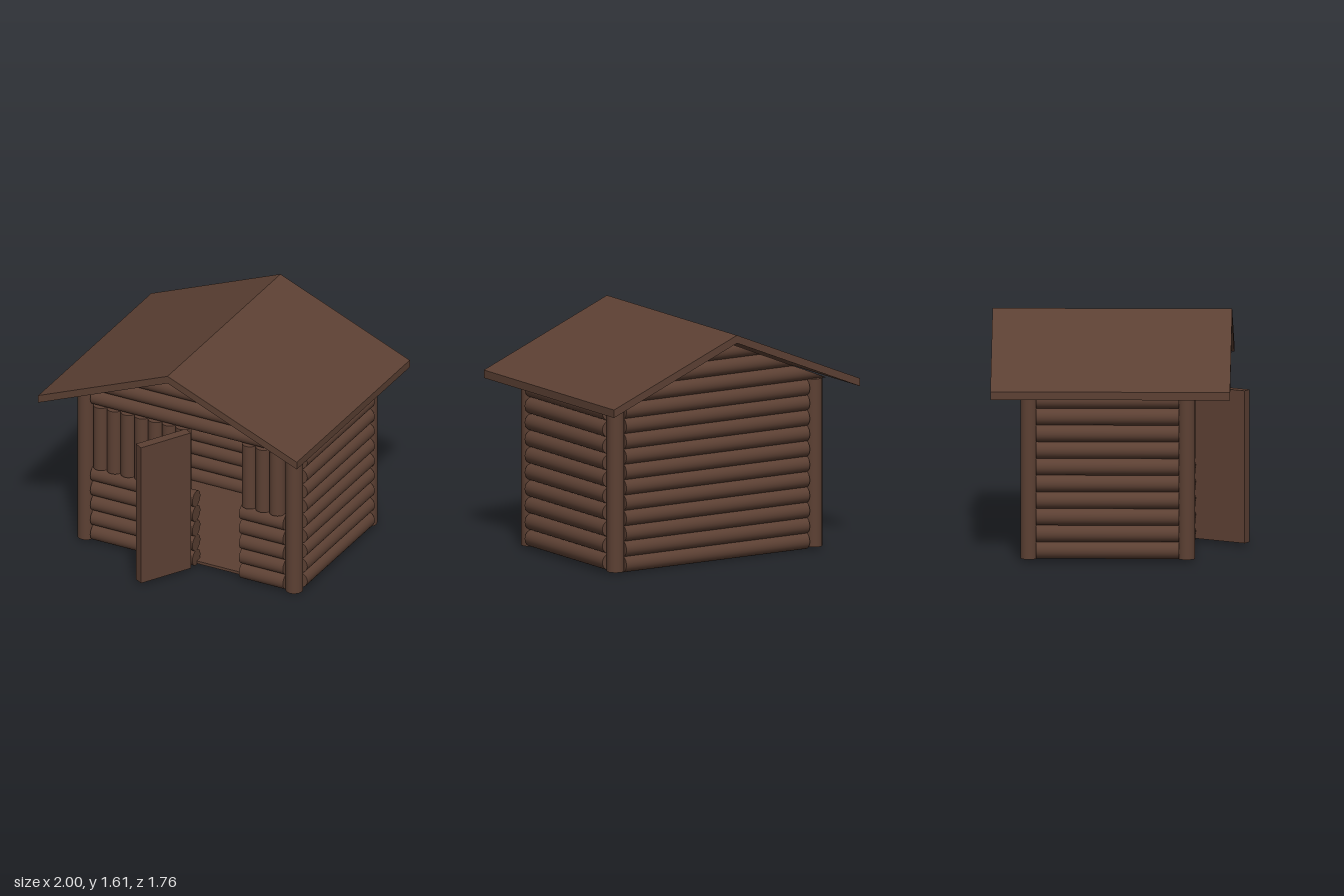
import * as THREE from 'three';

export function createModel() {
  const model = new THREE.Group();
  model.name = 'logCabin';
  const wood = new THREE.MeshStandardMaterial({ color: 0x5c4033 });
  wood.name = 'brown wood';
  const R = 0.0578; // log radius

  const group = (name) => {
    const g = new THREE.Group();
    g.name = name;
    model.add(g);
    return g;
  };
  const add = (parent, name, geometry, x = 0, y = 0, z = 0) => {
    const m = new THREE.Mesh(geometry, wood);
    m.name = name;
    m.position.set(x, y, z);
    parent.add(m);
    return m;
  };
  // Round log along one axis, spanning a..b; u and v are the other two coordinates in xyz order
  const log = (parent, axis, a, b, u, v, r = R) => {
    const g = new THREE.CylinderGeometry(r, r, b - a, 24);
    const mid = (a + b) / 2;
    if (axis === 'x') return add(parent, 'log', g.rotateZ(Math.PI / 2), mid, u, v);
    if (axis === 'z') return add(parent, 'log', g.rotateX(Math.PI / 2), u, v, mid);
    return add(parent, 'log', g, u, mid, v);
  };

  const L = -0.73, W = 0.76, FZ = 0.45, BZ = -0.608;

  // Corner posts
  const posts = group('cornerPosts');
  for (const x of [-0.79, 0.82]) {
    for (const z of [0.455, -0.62]) log(posts, 'y', 0.02, 1.19, x, z, x < 0 ? 0.059 : 0.06);
  }

  // Side walls
  for (const [name, x] of [['rightWall', -0.807], ['leftWall', 0.837]]) {
    const wall = group(name);
    for (let i = 0; i < 10; i++) log(wall, 'z', -0.572, 0.405, x, 0.078 + 0.1155 * i);
  }

  // Back wall
  const back = group('backWall');
  for (let i = 0; i < 10; i++) log(back, 'x', L, W, 0.061 + 0.107 * i, BZ);
  log(back, 'x', L, W, 1.128, BZ);

  // Front wall panels: horizontal logs below, upright logs above, either side of the doorway
  const front = group('frontWall');
  for (const [x0, x1] of [[L, 0.06], [0.42, W]]) {
    for (let i = 0; i < 5; i++) log(front, 'x', x0, x1, 0.071 + 0.1145 * i, FZ);
    for (let x = x0 + 0.055; x < x1; x += 0.106) {
      log(front, 'y', 0.585, 1.07, Math.min(x, x1 - 0.055), FZ, 0.055);
    }
  }
  log(front, 'x', L, W, 1.128, FZ).name = 'lintelLog';

  // Gables: log ends cut to the roof slope
  const slope = 0.41, peak = 1.545;
  for (const [name, z] of [['frontGable', FZ], ['backGable', BZ]]) {
    const gable = group(name);
    for (const y of [1.237, 1.346, 1.455, 1.55]) {
      const g = new THREE.CylinderGeometry(R, R, 2, 32).rotateZ(Math.PI / 2);
      const p = g.attributes.position;
      for (let i = 0; i < p.count; i++) {
        const py = Math.min(p.getY(i), peak - y);
        p.setXYZ(i, Math.sign(p.getX(i)) * (peak - y - py) / slope, py, p.getZ(i));
      }
      add(gable, 'gableLog', g, 0, y, z);
    }
  }

  // Pitched roof slab
  const s = new THREE.Shape();
  s.moveTo(-1, 1.15);
  s.lineTo(0, 1.56);
  s.lineTo(1, 1.15);
  s.lineTo(1, 1.205);
  s.lineTo(0, 1.615);
  s.lineTo(-1, 1.205);
  s.closePath();
  add(model, 'roof', new THREE.ExtrudeGeometry(s, { depth: 1.635, bevelEnabled: false }), 0, 0, -0.88);

  // Floor
  add(model, 'floor', new THREE.BoxGeometry(1.63, 0.02, 0.99), 0.015, 0.03, -0.052);

  // Door standing open
  const door = add(model, 'door', new THREE.BoxGeometry(0.4, 1.055, 0.067), -0.069, 0.5525, 0.686);
  door.rotation.y = Math.PI / 3;

  return model;
}
